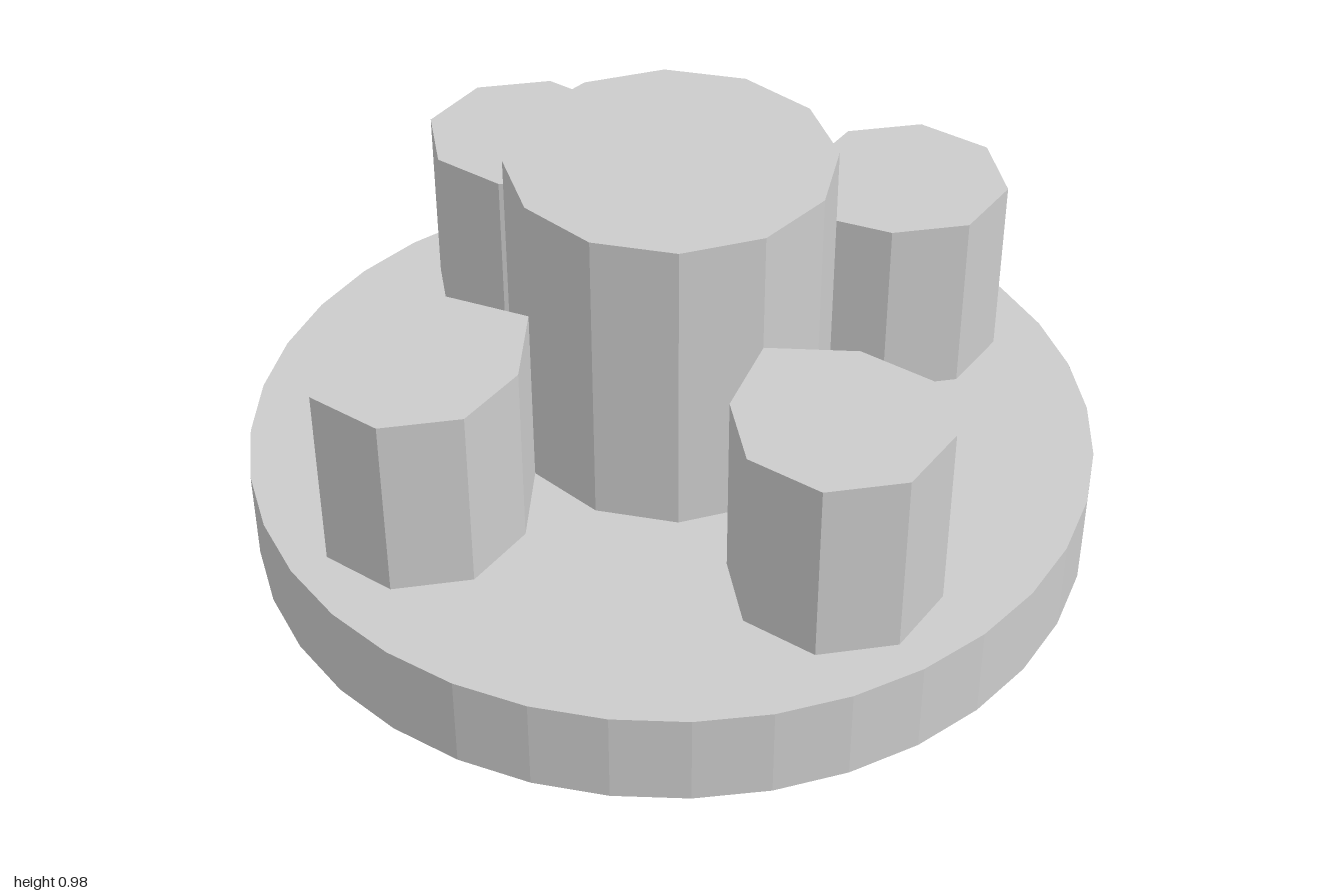
import * as THREE from 'three';
import { mergeGeometries } from 'three/addons/utils/BufferGeometryUtils.js';

const TWIST = THREE.MathUtils.degToRad(-17.4); // every part shares this turn
const BASE_TOP = 0.23, PIN_TOP = 0.685, HUB_TOP = 0.975;

// regular polygon in plan (shape y runs towards -z)
function ring(sides, radius) {
  return Array.from({ length: sides }, (_, i) => {
    const a = TWIST + (i / sides) * Math.PI * 2;
    return new THREE.Vector2(Math.cos(a) * radius, Math.sin(a) * radius);
  });
}

// thin cup, open below: upright walls plus a flat top that may have holes
function shell(points, bottom, top, holes = []) {
  const wall = [];
  points.forEach((a, i) => {
    const b = points[(i + 1) % points.length];
    const a0 = [a.x, bottom, -a.y], a1 = [a.x, top, -a.y];
    const b0 = [b.x, bottom, -b.y], b1 = [b.x, top, -b.y];
    wall.push(...a0, ...b0, ...b1, ...a0, ...b1, ...a1);
  });
  const side = new THREE.BufferGeometry();
  side.setAttribute('position', new THREE.Float32BufferAttribute(wall, 3));

  const shape = new THREE.Shape(points);
  shape.holes = holes.map((h) => new THREE.Path(h));
  const cap = new THREE.ShapeGeometry(shape).toNonIndexed();
  cap.rotateX(-Math.PI / 2).translate(0, top, 0);
  cap.deleteAttribute('uv');
  cap.deleteAttribute('normal');

  const geometry = mergeGeometries([side, cap]);
  geometry.computeVertexNormals();
  return geometry;
}

export function createModel() {
  const group = new THREE.Group();
  const material = new THREE.MeshStandardMaterial({
    color: 0xcccccc, flatShading: true, side: THREE.DoubleSide,
  });
  const add = (name, geometry) => {
    const mesh = new THREE.Mesh(geometry, material);
    mesh.name = name;
    group.add(mesh);
  };

  const hub = ring(12, 0.374);

  // octagonal pins, each with its inner corner drawn in to meet the hub
  const pins = [];
  for (let k = 0; k < 4; k++) {
    const pin = ring(8, 0.242);
    const out = new THREE.Vector2(Math.cos(TWIST), Math.sin(TWIST));
    pin.forEach((p) => p.addScaledVector(out, 0.67));
    pin[4].copy(out).multiplyScalar(0.375);
    const origin = new THREE.Vector2();
    pin.forEach((p) => p.rotateAround(origin, (k * Math.PI) / 2));
    pins.push(pin);
  }

  // hollow base, pierced beneath the hub and pins
  add('base', shell(ring(36, 1), 0, BASE_TOP, [hub, ...pins]));
  add('hub', shell(hub, BASE_TOP, HUB_TOP));
  pins.forEach((pin, i) => add(`pin${i + 1}`, shell(pin, BASE_TOP, PIN_TOP)));

  return group;
}
